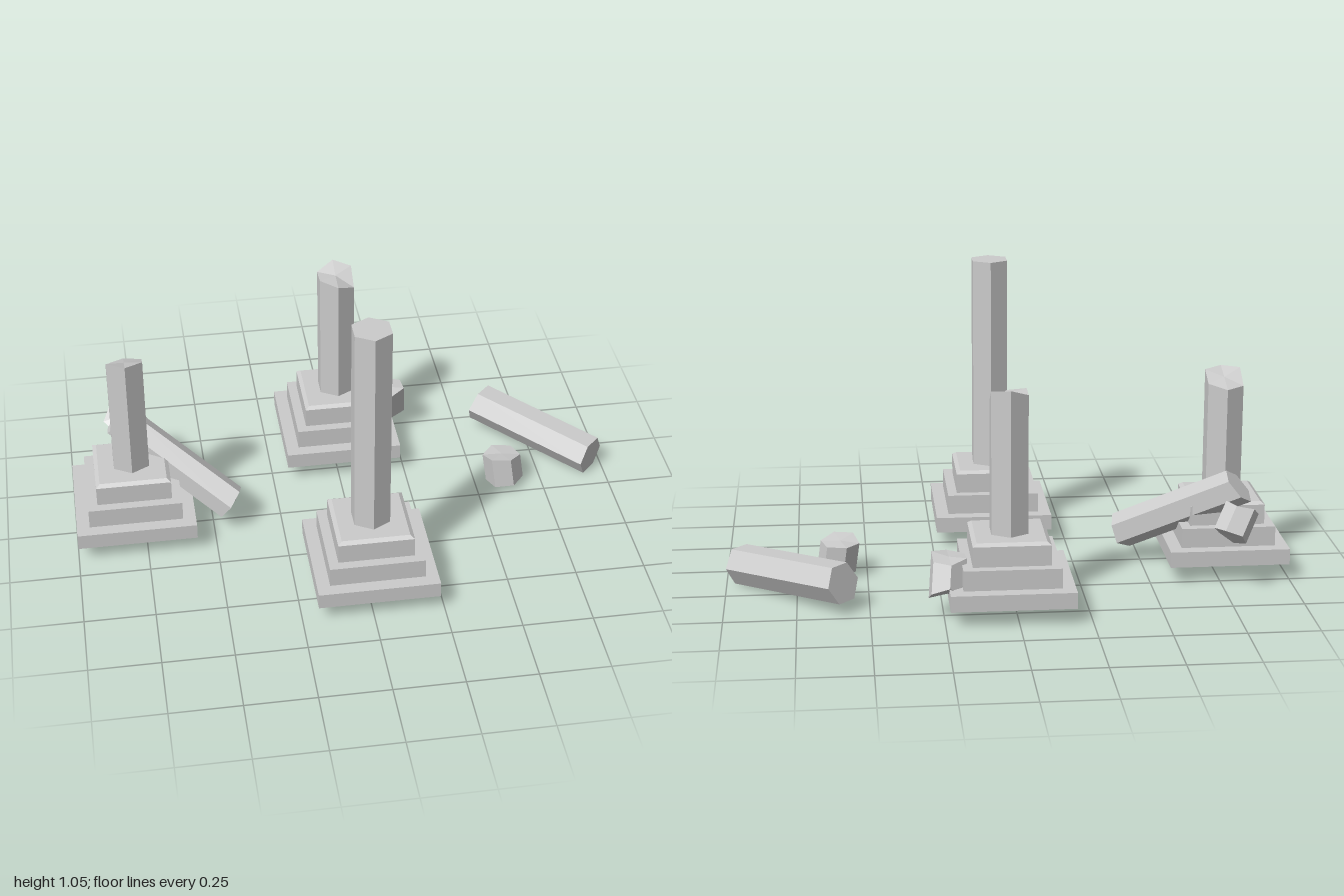
import * as THREE from 'three';

const stone = new THREE.MeshStandardMaterial({ color: 0xcccccc, flatShading: true });
const HEX = 0.073; // column radius

function add(parent, name, geometry, x = 0, y = 0, z = 0) {
  const mesh = new THREE.Mesh(geometry, stone);
  mesh.name = name;
  mesh.position.set(x, y, z);
  parent.add(mesh);
  return mesh;
}

// Hexagonal shaft along y, standing on y = 0; its six corners are raised or
// lowered at the top and bottom to give broken ends.
function hexShaft(radius, length, top = [0], bottom = [0]) {
  const g = new THREE.CylinderGeometry(radius, radius, length, 6);
  g.translate(0, length / 2, 0);
  const p = g.attributes.position;
  const mean = (a) => a.reduce((s, v) => s + v, 0) / a.length;
  for (let i = 0; i < p.count; i++) {
    const ends = p.getY(i) > length / 2 ? top : bottom;
    const x = p.getX(i), z = p.getZ(i);
    const corner = (Math.round(Math.atan2(x, z) / (Math.PI / 3)) + 6) % 6;
    const offset = Math.hypot(x, z) < radius / 2 ? mean(ends) : ends[corner % ends.length];
    p.setY(i, p.getY(i) + offset);
  }
  g.computeVertexNormals();
  return g;
}

// Stepped plinth with a column on top
function pillar(name, x, z, tops) {
  const group = new THREE.Group();
  group.name = name;
  group.position.set(x, 0, z);
  const steps = [[0.214, 0.065, 0.122], [0.168, 0.122, 0.193], [0.134, 0.193, 0.265]];
  steps.forEach(([half, y0, y1], i) => {
    add(group, 'plinthStep' + (i + 1), new THREE.BoxGeometry(half * 2, y1 - y0, half * 2), 0, (y0 + y1) / 2, 0);
  });
  // bevelled cap of the plinth
  const cap = new THREE.CylinderGeometry(0.12 * Math.SQRT2, 0.134 * Math.SQRT2, 0.01, 4);
  cap.rotateY(Math.PI / 4);
  add(group, 'plinthBevel', cap, 0, 0.27, 0);
  const base = 0.27, height = 0.45;
  add(group, 'column', hexShaft(HEX, height, tops.map((t) => t - base - height)), 0, base, 0);
  return group;
}

// Lay a shaft from point a to point b, turned about its own axis by roll
function fallen(parent, name, a, b, radius, roll, top, bottom) {
  const from = new THREE.Vector3(...a);
  const dir = new THREE.Vector3(...b).sub(from);
  const g = hexShaft(radius, dir.length(), top, bottom);
  const yAxis = dir.clone().normalize();
  const xAxis = new THREE.Vector3(0, 1, 0).cross(yAxis).normalize();
  const zAxis = xAxis.clone().cross(yAxis);
  const mesh = add(parent, name, g, ...a);
  mesh.quaternion.setFromRotationMatrix(new THREE.Matrix4().makeBasis(xAxis, yAxis, zAxis));
  mesh.rotateY(roll);
}

export function createModel() {
  const model = new THREE.Group();
  model.name = 'ruinedColumns';

  // standing columns
  model.add(
    pillar('tallPillar', 0.02, 0.407, [1.055]),
    pillar('backPillar', 0.02, -0.412, [0.755, 0.73, 0.78, 0.79, 0.765, 0.77]),
    pillar('sidePillar', -0.785, -0.045, [0.73, 0.725, 0.69, 0.675, 0.68, 0.73])
  );

  // toppled shafts
  fallen(model, 'fallenColumn', [0.95, 0.07, -0.095], [0.59, 0.115, -0.447], HEX, Math.PI / 6,
    [0.01, 0, -0.01, -0.01, 0, 0.01]);
  fallen(model, 'leaningColumn', [-0.43, 0.108, 0.04], [-0.815, 0.348, -0.212], 0.067, 0,
    [0.02, 0.0, -0.02, -0.02, 0, 0.02], [0.01, 0, -0.01, 0, 0.01, 0]);

  // broken chunks
  fallen(model, 'looseChunk', [0.61, 0.03, -0.06], [0.595, 0.14, -0.07], 0.07, 0.4,
    [0, 0.01, 0, -0.015, -0.01, 0]);
  fallen(model, 'restingChunk', [0.24, 0.095, -0.515], [0.23, 0.205, -0.47], 0.066, 0.3,
    [0.03, 0.02, -0.02, -0.03, 0, 0.02], [0, -0.02, -0.01, 0.01, 0, 0]);
  fallen(model, 'rearChunk', [-0.76, 0.215, -0.36], [-0.81, 0.295, -0.305], 0.062, 0.2,
    [0, 0.02, 0, -0.02, 0, 0.01], [0, 0.01, 0, -0.01, 0, 0]);
  return model;
}
